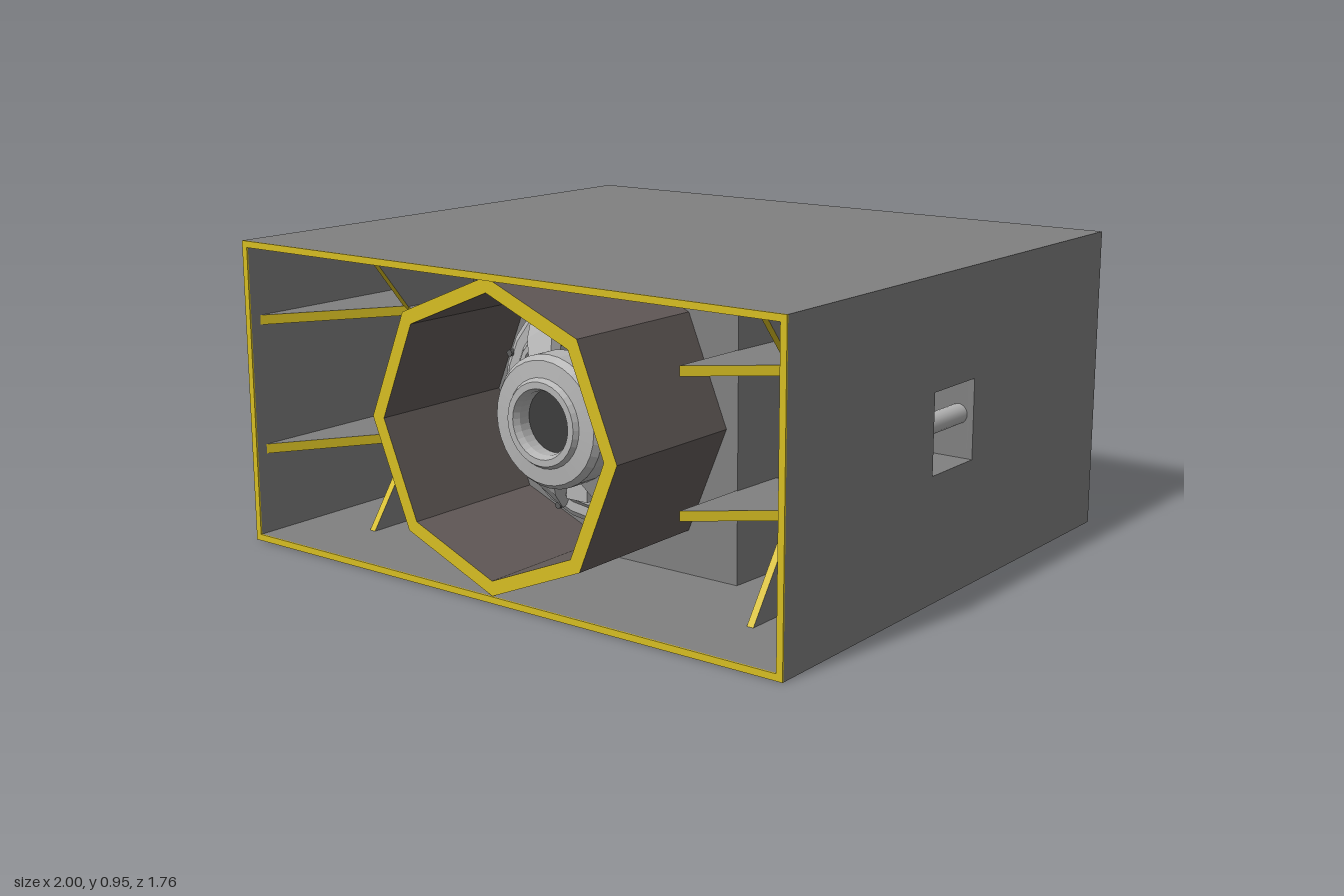
import * as THREE from 'three';

const mat = (name, color) => Object.assign(new THREE.MeshStandardMaterial({ color }), { name });
const poly = (pts) => new THREE.Shape(pts.map(([a, b]) => new THREE.Vector2(a, b)));
const rect = (a0, b0, a1, b1) => poly([[a0, b0], [a1, b0], [a1, b1], [a0, b1]]);
const extrude = (shape, depth) => new THREE.ExtrudeGeometry(shape, { depth, bevelEnabled: false });
const withHole = (outer, inner) => { outer.holes.push(inner); return outer; };

// (x, z) outline, extruded downwards from yTop
const plan = (shape, yTop, depth) => extrude(shape, depth).rotateX(Math.PI / 2).translate(0, yTop, 0);
// (z, y) outline, extruded towards -x from xMax
const side = (shape, xMax, depth) => extrude(shape, depth).rotateY(-Math.PI / 2).translate(xMax, 0, 0);
// profile of [radius, z], turned about the z axis
const turned = (pts, seg = 32) => {
  const out = new THREE.LatheGeometry(pts.map(([r, z]) => new THREE.Vector2(r, z)), seg).rotateX(Math.PI / 2);
  return out;
};

export function createModel() {
  const panel = mat('cabinet grey', 0x808080);
  const yellow = mat('cut edge yellow', 0xd6bd22);
  const inner = mat('brown grey', 0x625a58);
  const metal = mat('cast metal', 0xb4b4b4);
  const cone = mat('cone grey', 0x5c5c5c);
  const mesh = mat('vent mesh', 0x3c3c3c);
  inner.side = THREE.DoubleSide;
  metal.side = THREE.DoubleSide;
  cone.side = THREE.DoubleSide;

  const model = new THREE.Group();
  model.name = 'bassCabinet';
  const add = (name, geo, material, parent = model) => {
    const m = new THREE.Mesh(geo, material);
    m.name = name;
    parent.add(m);
    return m;
  };
  const box = (name, w, h, d, x, y, z, material, parent) =>
    add(name, new THREE.BoxGeometry(w, h, d).translate(x, y, z), material, parent);

  // Cabinet shell, open at the front
  const H = 0.95, Z = 0.88, T = 0.02;
  box('topPanel', 2, T, 1.755, 0, H - T / 2, -0.0025, panel);
  box('bottomPanel', 2, T, 1.755, 0, T / 2, -0.0025, panel);
  box('backPanel', 2 - 2 * T, H - 2 * T, T, 0, H / 2, -Z + T / 2, panel);
  for (const x of [1, -1 + T]) {
    const wall = withHole(rect(-Z, T, 0.875, H - T), rect(-0.08, 0.38, 0.145, 0.62));
    add('sidePanel', side(wall, x, T), panel);
  }
  const rim = withHole(rect(-1, 0, 1, H), rect(-1 + T, T, 1 - T, H - T));
  add('frontRim', extrude(rim, 0.005).translate(0, 0, 0.875), yellow);

  // Driver chamber with flared side walls
  const chamber = poly([[-0.5, 0.38], [0.5, 0.38], [0.57, -0.86], [-0.57, -0.86]]);
  add('driverChamber', plan(chamber, H - T, H - 2 * T), panel);

  // Octagonal horn tube
  const octagon = (r) => poly([...Array(8).keys()].map((i) => {
    const a = i * Math.PI / 4;
    return [r * Math.cos(a), r * Math.sin(a)];
  }));
  const tube = extrude(withHole(octagon(0.46), octagon(0.415)), 0.495);
  add('hornTube', tube.translate(0, 0.48, 0.38), [yellow, inner]);

  // Parts mirrored on both sides
  for (const s of [1, -1]) {
    const wing = new THREE.Group();
    wing.name = s > 0 ? 'leftWing' : 'rightWing';
    model.add(wing);

    // Angled rear corner reflector
    const corner = poly([[s * 0.73, -0.86], [s * 0.98, -0.4], [s * 0.98, -0.86]]);
    add('cornerReflector', plan(corner, H - T, H - 2 * T), panel, wing);

    // Horizontal braces with a notched front edge
    for (const y of [0.715, 0.305]) {
      const brace = poly([[s * 0.98, 0.84], [s * 0.73, 0.45], [s * 0.49, 0.64],
        [s * 0.5, 0.2], [s * 0.73, 0.16], [s * 0.98, 0.2]]);
      add('shelfBrace', plan(brace, y, 0.03), [panel, yellow], wing);
    }
    // Upright brace with a notched front edge
    const upright = poly([[0.64, T], [0.45, 0.29], [0.4, 0.48], [0.45, 0.7], [0.64, H - T], [0.16, H - T], [0.16, T]]);
    add('uprightBrace', side(upright, s * 0.73 + 0.011, 0.022), [panel, yellow], wing);

    // Recessed handle: cup walls, back plate, lining and grip bar
    const cup = withHole(rect(-0.14, 0.31, 0.2, 0.67), rect(-0.08, 0.38, 0.145, 0.62));
    add('handleCup', side(cup, s > 0 ? 0.98 : -0.84, 0.14), [inner, panel], wing);
    box('cupBack', 0.01, 0.36, 0.34, s * 0.835, 0.49, 0.03, inner, wing);
    box('cupFront', 0.15, 0.36, 0.008, s * 0.905, 0.49, 0.204, inner, wing);
    box('cupLining', 0.005, 0.24, 0.225, s * 0.843, 0.5, 0.0325, panel, wing);
    add('handleGrip', new THREE.CylinderGeometry(0.03, 0.03, 0.225, 20).rotateX(Math.PI / 2)
      .translate(s * 0.95, 0.51, 0.0325), metal, wing);
  }

  // Loudspeaker, mounted with its magnet forwards
  const driver = new THREE.Group();
  driver.name = 'driver';
  driver.position.set(0, 0.48, 0);
  model.add(driver);
  const flat = (pts, seg) => turned(pts, seg).toNonIndexed();
  const faceted = (geo) => { geo.computeVertexNormals(); return geo; };

  add('basketFlange', faceted(flat([[0.36, 0.38], [0.36, 0.41], [0.34, 0.425], [0.31, 0.425], [0.29, 0.45],
    [0.275, 0.45], [0.27, 0.39]], 24)), metal, driver);
  add('coneBody', turned([[0.28, 0.39], [0.25, 0.42], [0.24, 0.41], [0.12, 0.52]]), cone, driver);
  for (const r of [0.25, 0.215]) {
    add('coneRing', new THREE.TorusGeometry(r, 0.008, 8, 32).translate(0, 0, 0.43), mesh, driver);
  }
  add('magnet', faceted(flat([[0.14, 0.5], [0.19, 0.52], [0.2, 0.54], [0.2, 0.62], [0.185, 0.64], [0.135, 0.645],
    [0.125, 0.66], [0.105, 0.66], [0.095, 0.64], [0.095, 0.58]], 32)), metal, driver);
  add('ventMesh', new THREE.CircleGeometry(0.098, 32).translate(0, 0, 0.6), mesh, driver);

  // Basket spokes, wider at the rim, and flange bolts
  for (let i = 0; i < 6; i++) {
    const spoke = extrude(poly([[0.17, 0.52], [0.32, 0.41], [0.33, 0.44], [0.27, 0.5], [0.17, 0.56]]), 0.13)
      .translate(0, 0, -0.065);
    const p = spoke.attributes.position;
    for (let k = 0; k < p.count; k++) p.setZ(k, p.getZ(k) * (0.4 + 1.9 * p.getX(k)));
    spoke.rotateX(Math.PI / 2).scale(1, -1, 1);
    // restore outward faces after the mirroring
    for (let k = 0; k < p.count; k += 3) {
      const a = new THREE.Vector3().fromBufferAttribute(p, k + 1);
      const b = new THREE.Vector3().fromBufferAttribute(p, k + 2);
      p.setXYZ(k + 1, b.x, b.y, b.z);
      p.setXYZ(k + 2, a.x, a.y, a.z);
    }
    spoke.computeVertexNormals();
    add('basketSpoke', spoke, metal, driver).rotation.z = i * Math.PI / 3;
  }
  for (let i = 0; i < 8; i++) {
    const a = (i + 0.5) * Math.PI / 4;
    add('flangeBolt', new THREE.CylinderGeometry(0.011, 0.011, 0.02, 8).rotateX(Math.PI / 2)
      .translate(0.345 * Math.cos(a), 0.345 * Math.sin(a), 0.425), cone, driver);
  }
  box('terminal', 0.08, 0.06, 0.06, 0, -0.235, 0.47, metal, driver);

  return model;
}
